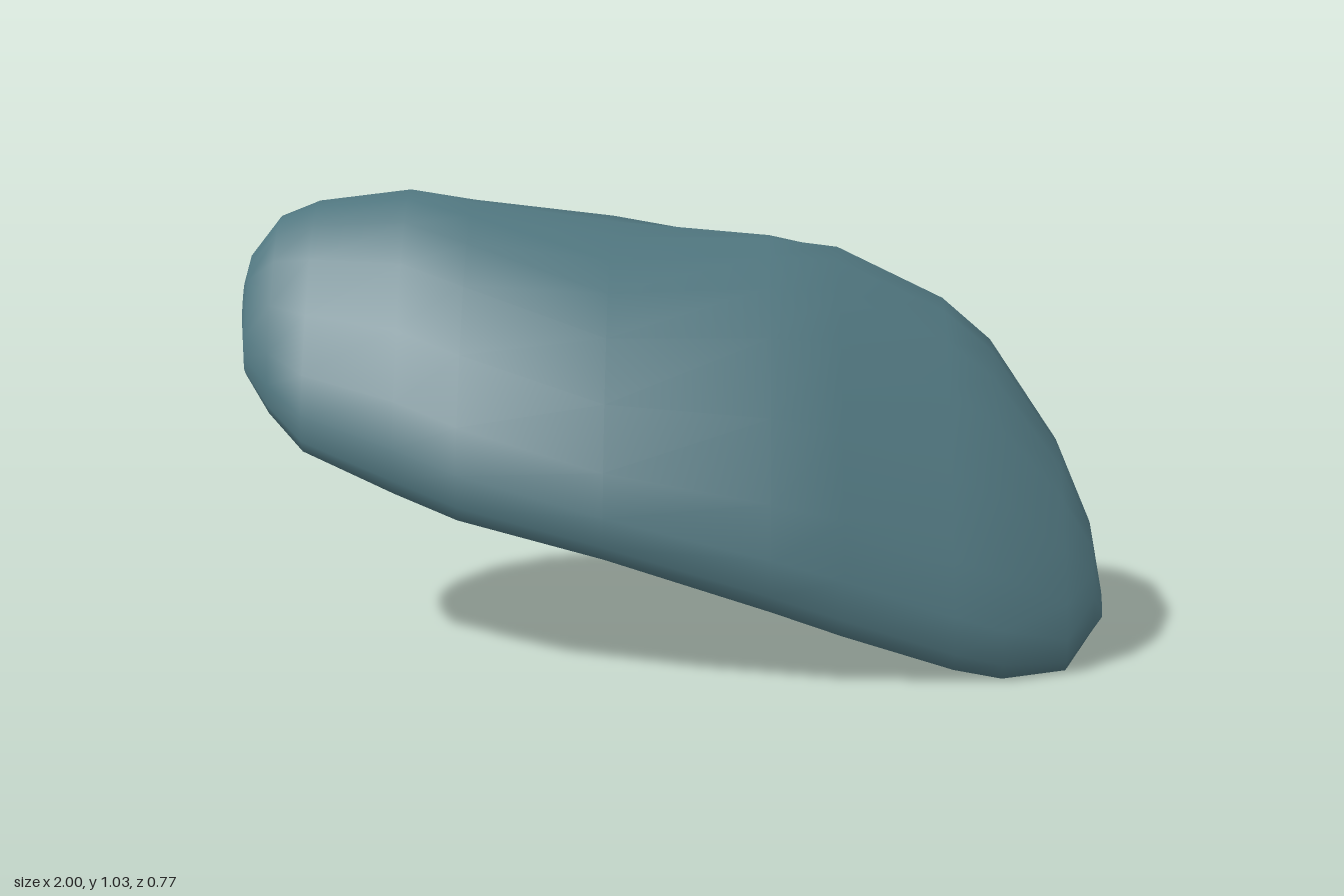
import * as THREE from 'three';

// Cross-sections along x: [x, top y, bottom y, front z, back z, thickness ratio, slant of upper end]
const SECTIONS = [
  [-1.0, 0.82, 0.72, -0.15, -0.24, 0.6, 0.3],
  [-0.985, 0.88, 0.62, -0.07, -0.3, 0.56, 0.3],
  [-0.92, 0.965, 0.54, 0.01, -0.355, 0.5, 0.3],
  [-0.83, 1.0, 0.468, 0.1, -0.39, 0.45, 0.3],
  [-0.61, 1.03, 0.395, 0.21, -0.382, 0.4, 0.4],
  [-0.46, 1.008, 0.35, 0.28, -0.355, 0.39, 0.7],
  [-0.13, 0.968, 0.28, 0.355, -0.305, 0.38, 1.3],
  [0.24, 0.925, 0.17, 0.385, -0.36, 0.37, 0.7],
  [0.4, 0.9, 0.11, 0.365, -0.375, 0.37, 0.45],
  [0.65, 0.78, 0.025, 0.33, -0.355, 0.37, 0.4],
  [0.76, 0.69, 0, 0.31, -0.295, 0.39, 0.4],
  [0.91, 0.47, 0, 0.235, -0.18, 0.45, 0.4],
  [0.98, 0.3, 0.075, 0.15, -0.05, 0.55, 0.4],
  [1.0, 0.16, 0.1, 0.13, 0.07, 0.65, 0.4],
];
const SIDES = 20;
const LOWER_SLANT = 1.35;
const BOW = 0.1;

// A bowed, slanted-end slab outline leaning back, set to the section's extents
function ring([x, top, bottom, front, back, ratio, upperSlant]) {
  const soften = (c) => Math.sign(c) * Math.abs(c) ** 0.8;
  const pts = [];
  for (let i = 0; i < SIDES; i++) {
    const a = (i / SIDES) * Math.PI * 2;
    const across = ratio * soften(Math.sin(a));
    const along = soften(Math.cos(a));
    const slant = THREE.MathUtils.lerp(LOWER_SLANT, upperSlant, (1 + along) / 2);
    const u = along - slant * across;
    const v = across - BOW * along * along;
    pts.push([u + v, v - u]);
  }
  const fit = (k, lo, hi) => {
    const vals = pts.map((p) => p[k]);
    const min = Math.min(...vals), max = Math.max(...vals);
    return (p) => lo + ((p[k] - min) / (max - min)) * (hi - lo);
  };
  const fy = fit(0, bottom, top), fz = fit(1, back, front);
  return pts.map((p) => [x, fy(p), fz(p)]);
}

// Skin the rings and close both ends
function loft(rings) {
  const pos = rings.flat(2);
  const index = [];
  for (let r = 0; r < rings.length - 1; r++) {
    for (let i = 0; i < SIDES; i++) {
      const j = (i + 1) % SIDES;
      const a = r * SIDES + i, b = r * SIDES + j;
      index.push(a, b, a + SIDES, b, b + SIDES, a + SIDES);
    }
  }
  for (const end of [0, rings.length - 1]) {
    const c = pos.length / 3;
    const centre = [0, 1, 2].map((k) => rings[end].reduce((s, p) => s + p[k], 0) / SIDES);
    pos.push(...centre);
    for (let i = 0; i < SIDES; i++) {
      const a = end * SIDES + i, b = end * SIDES + ((i + 1) % SIDES);
      if (end === 0) index.push(c, b, a);
      else index.push(c, a, b);
    }
  }
  const geo = new THREE.BufferGeometry();
  geo.setAttribute('position', new THREE.Float32BufferAttribute(pos, 3));
  geo.setIndex(index);
  geo.computeVertexNormals();
  return geo;
}

export function createModel() {
  const group = new THREE.Group();
  group.name = 'curvedStone';
  const stone = new THREE.Mesh(
    loft(SECTIONS.map(ring)),
    new THREE.MeshStandardMaterial({ color: 0x50767f })
  );
  stone.name = 'stoneBody';
  group.add(stone);
  return group;
}
